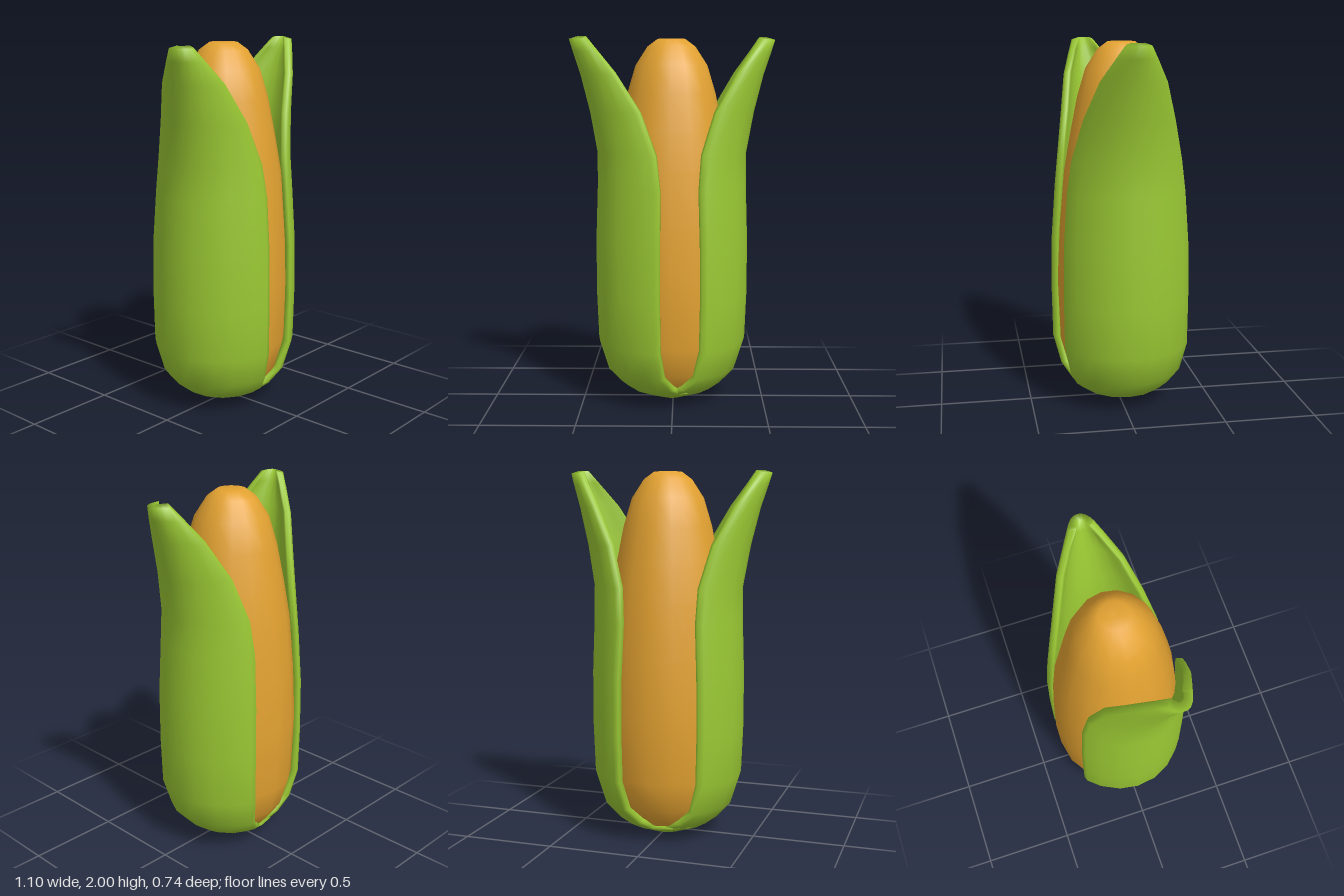
import * as THREE from 'three';

const THICK = 0.045;

// leaf cross-sections from base to tip: height, outer radius, rim x, rim z
const ROWS = [
  [0.00, 0.07, -0.03, 0.065], [0.06, 0.23, -0.02, 0.22], [0.10, 0.285, 0.06, 0.27],
  [0.18, 0.36, 0.13, 0.315], [0.34, 0.41, 0.165, 0.35], [0.60, 0.42, 0.17, 0.353],
  [0.90, 0.42, 0.168, 0.35], [1.20, 0.41, 0.16, 0.33], [1.38, 0.41, 0.175, 0.305],
  [1.60, 0.45, 0.245, 0.25], [1.80, 0.50, 0.36, 0.18], [1.92, 0.54, 0.445, 0.11],
  [1.985, 0.56, 0.49, 0.07],
];

function leafGeometry() {
  const ts = [-1, -0.94, -0.75, -0.5, -0.25, 0, 0.25, 0.5, 0.75, 0.94, 1];
  const L = ts.length * 2;
  const pos = [], index = [];
  ROWS.forEach(([y, R, ex, ez], i) => {
    // profile normal, used to push the inner skin inwards
    const p = ROWS[Math.max(i - 1, 0)], q = ROWS[Math.min(i + 1, ROWS.length - 1)];
    const len = Math.hypot(q[0] - p[0], q[1] - p[1]);
    const nr = (q[0] - p[0]) / len, ny = -(q[1] - p[1]) / len;
    const a = Math.max(Math.atan2(ez, ex), 1.06);
    const put = (t, depth) => {
      const x = ex + (R - ex) * (Math.cos(t * a) - Math.cos(a)) / (1 - Math.cos(a));
      const z = ez * Math.sin(t * a) / Math.sin(a);
      pos.push(x - depth * nr * Math.cos(t * a), y - depth * ny, z - depth * nr * Math.sin(t * a));
    };
    // rim corners are pulled in so that the edge is rounded
    ts.forEach((t) => put(t, Math.abs(t) === 1 ? THICK * 0.25 : 0));
    [...ts].reverse().forEach((t) => put(t, THICK * (Math.abs(t) === 1 ? 0.75 : 1)));
  });
  for (let i = 0; i < ROWS.length - 1; i++) {
    for (let j = 0; j < L; j++) {
      const a = i * L + j, b = i * L + (j + 1) % L, c = a + L, d = b + L;
      index.push(a, c, b, b, c, d);
    }
  }
  // close the tip and the base
  const top = (ROWS.length - 1) * L;
  for (let k = 0; k < ts.length - 1; k++) {
    const a = k, b = k + 1, c = L - 1 - k, d = L - 2 - k;
    index.push(top + a, top + c, top + d, top + a, top + d, top + b);
    index.push(a, d, c, a, b, d);
  }
  const g = new THREE.BufferGeometry();
  g.setAttribute('position', new THREE.Float32BufferAttribute(pos, 3));
  g.setIndex(index);
  g.computeVertexNormals();
  return g;
}

function lathe(points, segments) {
  return new THREE.LatheGeometry(points.map(([r, y]) => new THREE.Vector2(r, y)), segments);
}

export function createModel() {
  const kernel = new THREE.MeshStandardMaterial({ color: 0xe3a231 });
  kernel.name = 'kernelOrange';
  const green = new THREE.MeshStandardMaterial({ color: 0x9ac833 });
  green.name = 'huskGreen';

  const model = new THREE.Group();
  model.name = 'cornCob';
  const add = (name, geometry, material, turn = 0) => {
    const mesh = new THREE.Mesh(geometry, material);
    mesh.name = name;
    mesh.position.set(-0.01, 0, -0.02);
    mesh.rotation.y = turn;
    model.add(mesh);
  };

  // cob with a blunt, slightly dimpled top
  add('cob', lathe([
    [0, 0.04], [0.15, 0.045], [0.23, 0.09], [0.30, 0.19], [0.345, 0.35], [0.357, 0.7],
    [0.342, 1.0], [0.315, 1.3], [0.28, 1.5], [0.24, 1.7], [0.195, 1.85], [0.13, 1.95],
    [0.075, 1.99], [0, 1.985],
  ], 16), kernel);

  // shallow cup joining the leaves
  add('huskBase', lathe([
    [0, 0], [0.07, 0.002], [0.22, 0.06], [0.245, 0.08], [0.22, 0.085], [0, 0.06],
  ], 16), green);

  // two husk leaves
  const leaf = leafGeometry();
  add('leftLeaf', leaf, green);
  add('rightLeaf', leaf, green, -THREE.MathUtils.degToRad(163));

  return model;
}
